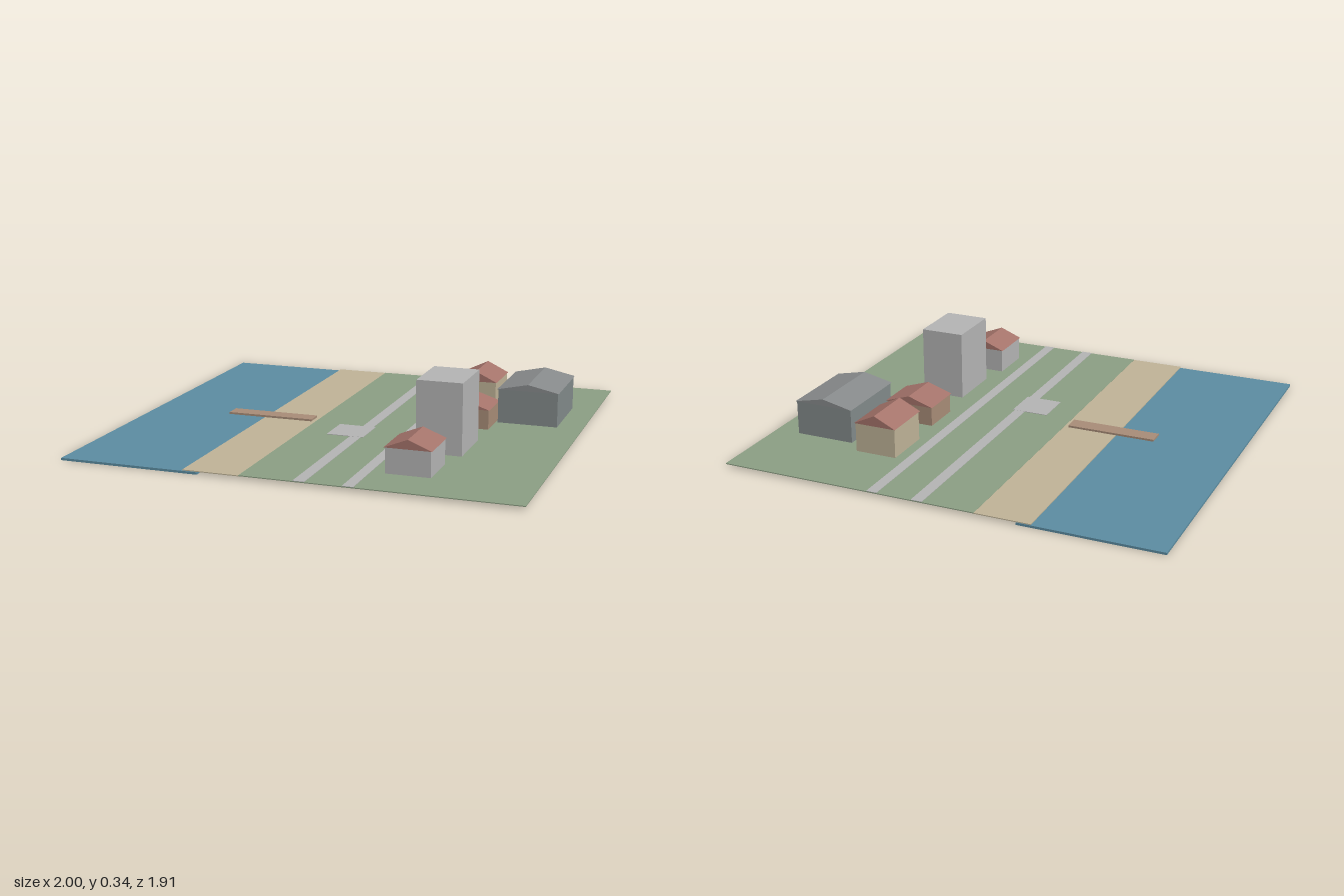
import * as THREE from 'three';

export function createModel() {
  const model = new THREE.Group();
  model.name = 'coastalVillage';

  const mat = (name, color) => {
    const m = new THREE.MeshStandardMaterial({ color });
    m.name = name;
    return m;
  };
  const water = mat('water blue', 0x5c8da2);
  const sand = mat('sand', 0xc0b498);
  const grass = mat('grass green', 0x8c9f84);
  const pale = mat('pale grey', 0xb5b5b5);
  const timber = mat('timber brown', 0xa98d78);
  const tile = mat('roof tile red', 0xa5746b);
  const shedWall = mat('shed wall grey', 0x838b8b);
  const shedRoof = mat('shed roof grey', 0x888b8c);

  // Box given by its extents along x, y and z
  function block(name, material, [x0, x1], [y0, y1], [z0, z1], parent = model) {
    const mesh = new THREE.Mesh(new THREE.BoxGeometry(x1 - x0, y1 - y0, z1 - z0), material);
    mesh.position.set((x0 + x1) / 2, (y0 + y1) / 2, (z0 + z1) / 2);
    mesh.name = name;
    parent.add(mesh);
  }

  // Walls with a gabled roof whose ridge runs along z
  function house(name, wallMat, roofMat, [x0, x1], [z0, z1], eave, ridge) {
    const group = new THREE.Group();
    group.name = name;
    const lip = 0.005;
    block('walls', wallMat, [x0 + lip, x1 - lip], [GROUND, eave], [z0 + lip, z1 - lip], group);
    const gable = new THREE.Shape([
      new THREE.Vector2(x0, eave),
      new THREE.Vector2(x1, eave),
      new THREE.Vector2((x0 + x1) / 2, ridge),
    ]);
    const roof = new THREE.Mesh(
      new THREE.ExtrudeGeometry(gable, { depth: z1 - z0, bevelEnabled: false }), roofMat);
    roof.position.z = z0;
    roof.name = 'roof';
    group.add(roof);
    model.add(group);
  }

  const GROUND = 0.017;
  const SPAN = [-0.955, 0.955];

  // Ground strips
  block('sea', water, [-1, -0.37], [0, 0.01], SPAN);
  block('beach', sand, [-0.435, -0.185], [0.012, 0.016], SPAN);
  block('grassland', grass, [-0.185, 1], [0.013, GROUND], SPAN);

  // Roads, plaza and pier
  block('shoreRoad', pale, [0.05, 0.1], [GROUND, 0.019], SPAN);
  block('villageRoad', pale, [0.26, 0.307], [GROUND, 0.019], SPAN);
  block('plaza', pale, [-0.06, 0.11], [GROUND, 0.0195], [0.09, 0.265]);
  block('pier', timber, [-0.615, -0.205], [0.016, 0.025], [0.005, 0.08]);

  // Buildings
  block('tower', pale, [0.396, 0.6], [GROUND, 0.335], [0.135, 0.405]);
  house('frontHouse', pale, tile, [0.362, 0.567], [0.525, 0.742], 0.128, 0.169);
  house('middleHouse', timber, tile, [0.367, 0.605], [-0.238, -0.04], 0.107, 0.146);
  house('backHouse', sand, tile, [0.35, 0.552], [-0.62, -0.385], 0.151, 0.2);
  house('shed', shedWall, shedRoof, [0.605, 0.89], [-0.553, -0.178], 0.174, 0.205);

  return model;
}
